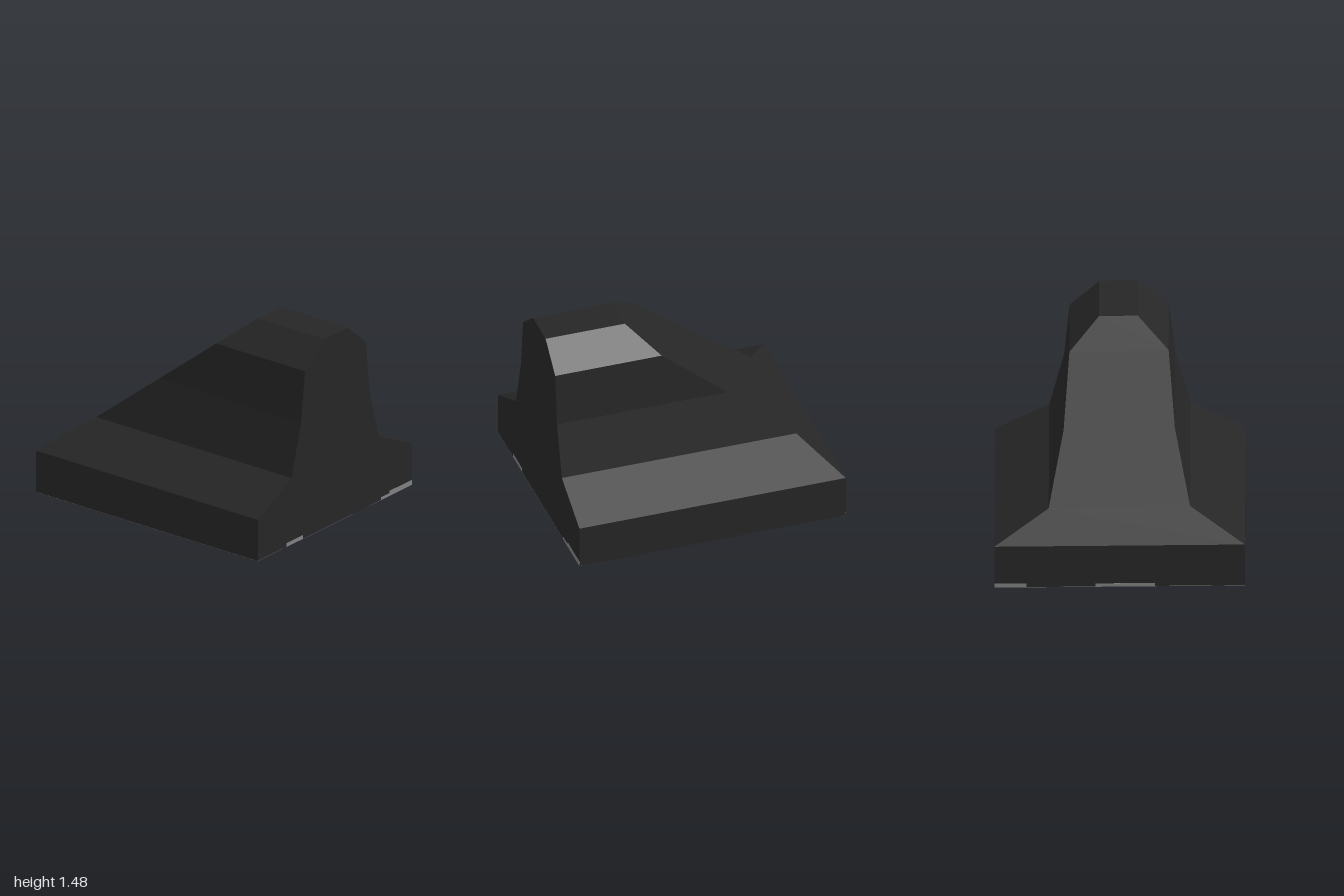
import * as THREE from 'three';

const black = new THREE.MeshStandardMaterial({ color: 0x262626 });
black.name = 'black';
const grey = new THREE.MeshStandardMaterial({ color: 0x808080 });
grey.name = 'grey';

// Cross-section rows: z, y, and the x where the sloping end cuts that row
const SECTION = [
  [0.89, 0.021, -1], [0.89, 0.34, -1], [0.5, 0.53, -0.76],
  [0.39, 0.92, -0.28], [0.345, 1.305, 0.2], [0.125, 1.48, 0.405],
  [-0.15, 1.475, 0.405], [-0.36, 1.29, 0.2], [-0.4, 0.9, -0.28],
  [-0.505, 0.51, -0.76], [-0.89, 0.32, -1], [-0.89, 0.001, -1],
];

// Ridge: section swept along x, square at +x and sloped at -x
function ridgeGeometry() {
  const n = SECTION.length;
  const slope = SECTION.map(([z, y, x]) => [x, y, z]);
  const end = SECTION.map(([z, y]) => [1, y, z]);
  const pos = [];
  const quad = (a, b, c, d) => pos.push(...a, ...b, ...c, ...a, ...c, ...d);
  for (let i = 0; i < n; i++) {
    const j = (i + 1) % n;
    quad(slope[i], end[i], end[j], slope[j]);
  }
  // end faces, in bands joining the front half to the back half
  for (let i = 0; i < n / 2 - 1; i++) {
    const k = n - 1 - i;
    quad(slope[i], slope[i + 1], slope[k - 1], slope[k]);
    quad(end[k], end[k - 1], end[i + 1], end[i]);
  }
  const g = new THREE.BufferGeometry();
  g.setAttribute('position', new THREE.Float32BufferAttribute(pos, 3));
  g.computeVertexNormals();
  return g;
}

const floorY = (z) => 0.011 + z * 0.0112;

export function createModel() {
  const model = new THREE.Group();
  model.name = 'ridgeBlock';

  const ridge = new THREE.Mesh(ridgeGeometry(), black);
  ridge.name = 'ridge';
  model.add(ridge);

  // Thin plate following the slightly tilted underside
  const plate = (name, w, h, d, x, y, z) => {
    const m = new THREE.Mesh(new THREE.BoxGeometry(w, h, d), grey);
    m.name = name;
    m.position.set(x, y, z);
    m.rotation.x = -0.0112;
    model.add(m);
  };

  // Worn rim on the underside
  for (const s of [-1, 1]) plate('underRimEnd', 0.035, 0.003, 1.78, s * 0.9825, floorY(0), 0);
  plate('underRimFront', 1.93, 0.003, 0.03, 0, floorY(0.875), 0.875);

  // Chips along the foot of both end faces: side, z from, z to, height
  const chips = [
    [1, 0.37, 0.56, 0.028], [1, -0.89, -0.63, 0.038], [1, -0.63, -0.53, 0.022],
    [-1, -0.17, 0.25, 0.025], [-1, -0.89, -0.66, 0.03],
  ];
  for (const [s, z0, z1, h] of chips) {
    const z = (z0 + z1) / 2;
    plate('footChip', 0.004, h, z1 - z0, s * 0.999, floorY(z) + h / 2, z);
  }
  return model;
}
